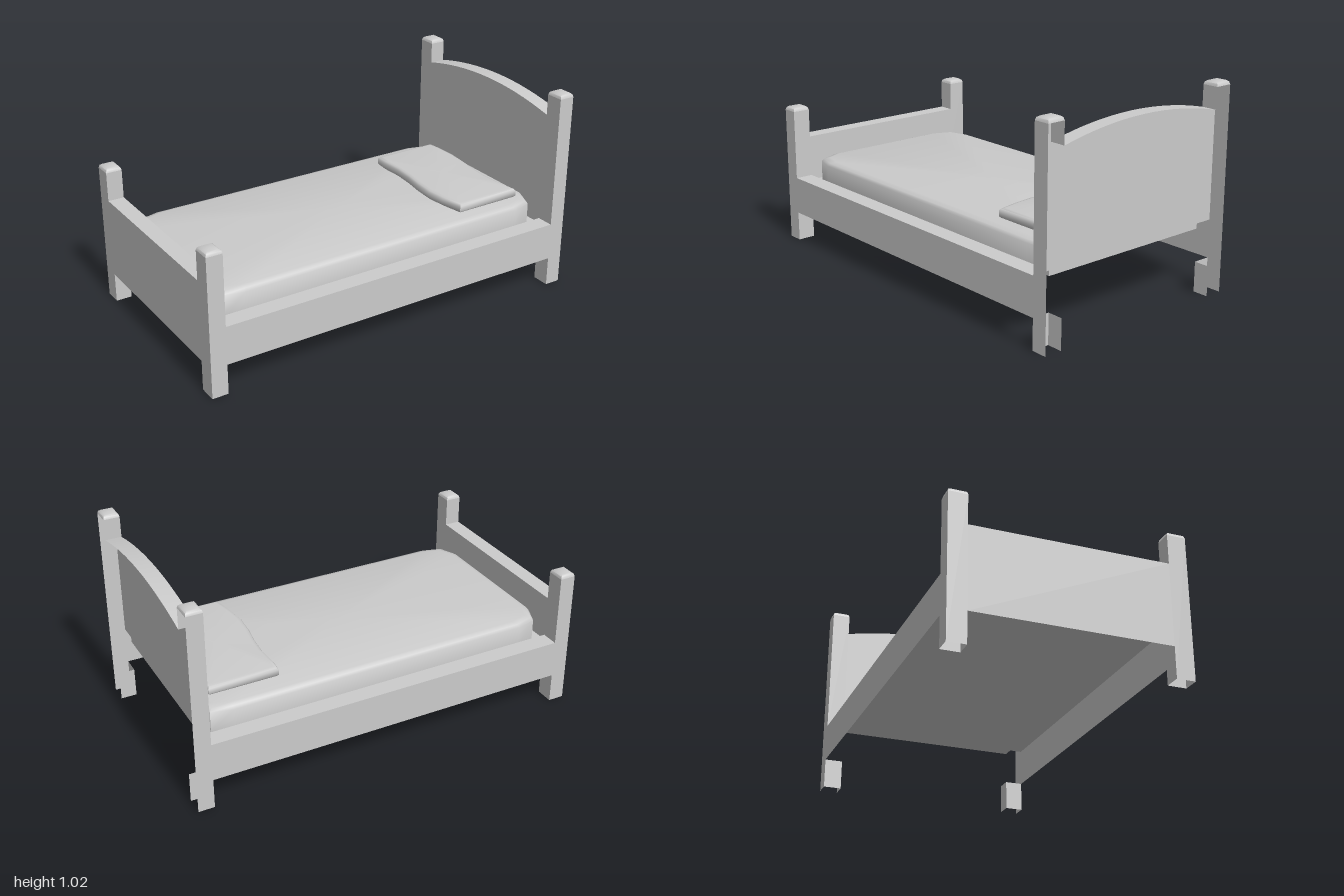
import * as THREE from 'three';
import { toCreasedNormals } from 'three/addons/utils/BufferGeometryUtils.js';

const XI = 0.92, XO = 1, ZI = 0.47, ZO = 0.56; // inner and outer faces of posts, boards and rails
const RAIL_BOTTOM = 0.15, RAIL_TOP = 0.34, BASE = 0.315;

export function createModel() {
  const bed = new THREE.Group();
  bed.name = 'bed';
  const material = new THREE.MeshStandardMaterial({ color: 0xcccccc, side: THREE.DoubleSide });

  const group = (name) => {
    const g = new THREE.Group();
    g.name = name;
    bed.add(g);
    return g;
  };

  const addMesh = (parent, name, points, index, crease) => {
    let geo = new THREE.BufferGeometry();
    geo.setAttribute('position', new THREE.Float32BufferAttribute(points.flat(), 3));
    geo.setIndex(index);
    geo = toCreasedNormals(geo, crease);
    const mesh = new THREE.Mesh(geo, material);
    mesh.name = name;
    parent.add(mesh);
  };

  // Flat convex sheet, mirrored by the signs sx and sz
  const sheet = (parent, name, points, sx = 1, sz = 1) => {
    const p = points.map(([x, y, z]) => [x * sx, y, z * sz]);
    if (sx * sz < 0) p.reverse();
    const index = [];
    for (let i = 1; i < p.length - 1; i++) index.push(0, i, i + 1);
    addMesh(parent, name, p, index, 0.1);
  };

  // Skin over rings (counterclockwise from above, bottom to top), closed on top
  const loft = (parent, name, rings, crease) => {
    const n = rings[0].length, points = rings.flat(), index = [];
    for (let r = 0; r < rings.length - 1; r++) {
      for (let i = 0; i < n; i++) {
        const a = r * n + i, b = r * n + (i + 1) % n;
        index.push(a, b, b + n, a, b + n, a + n);
      }
    }
    const top = rings[rings.length - 1], start = points.length - n;
    const centre = [0, 1, 2].map((k) => top.reduce((s, p) => s + p[k], 0) / n);
    for (let i = 0; i < n; i++) index.push(start + i, start + (i + 1) % n, points.length);
    points.push(centre);
    addMesh(parent, name, points, index, crease);
  };

  // Outline shrunk towards (cx, cz), one ring per [y, inset]
  const insetRings = (outline, cx, cz, hx, hz, levels) => levels.map(([y, d]) =>
    outline.map(([x, z]) => [cx + (x - cx) * (1 - d / hx), y, cz + (z - cz) * (1 - d / hz)]));

  // Hollow corner posts; the outer side of the head posts is open
  const post = (name, sx, sz, height, boardTop, closed) => {
    const g = group(name), t = height - 0.02;
    const acrossX = (part, z, y0, y1) => sheet(g, part,
      [[XO, y0, z], [XI, y0, z], [XI, y1, z], [XO, y1, z]], sx, sz);
    const acrossZ = (part, y0, y1) => sheet(g, part,
      [[XI, y0, ZI], [XI, y0, ZO], [XI, y1, ZO], [XI, y1, ZI]], sx, sz);
    sheet(g, 'postSide', [[XI, 0, ZO], [XO, 0, ZO], [XO, t, ZO], [XI, t, ZO]], sx, sz);
    if (closed) sheet(g, 'postEnd', [[XO, 0, ZO], [XO, 0, ZI], [XO, t, ZI], [XO, t, ZO]], sx, sz);
    acrossX('postInnerSide', ZI, boardTop, t);
    acrossX('legInnerSide', ZI, 0, RAIL_BOTTOM);
    acrossZ('postInnerEnd', RAIL_TOP, t);
    acrossZ('legInnerEnd', 0, RAIL_BOTTOM);
    const cx = sx * 0.96, cz = sz * 0.515;
    const square = [[0.04, 0.045], [0.04, -0.045], [-0.04, -0.045], [-0.04, 0.045]]
      .map(([x, z]) => [cx + x, cz + z]);
    loft(g, 'postCap', insetRings(square, cx, cz, 0.04, 0.045,
      [[t, 0], [t + 0.013, 0.004], [height, 0.014]]), 0.9);
  };

  // Curved or straight board between two posts
  const board = (name, sx, edge, closed) => {
    const g = group(name), steps = edge(0) === edge(ZI) ? 1 : 16;
    const zs = Array.from({ length: steps + 1 }, (_, i) => -ZI + (2 * ZI * i) / steps);
    sheet(g, 'boardInnerFace',
      [[XI, BASE, -ZI], [XI, BASE, ZI], ...zs.map((z) => [XI, edge(z), -z])], sx);
    if (closed) {
      sheet(g, 'boardOuterFace', [[XO, RAIL_BOTTOM, ZI], [XO, RAIL_BOTTOM, -ZI],
        ...zs.map((z) => [XO, edge(z), z])], sx);
    }
    const points = zs.flatMap((z) => [[XI * sx, edge(z), z], [XO * sx, edge(z), z]]);
    const index = [];
    for (let i = 0; i < steps; i++) {
      const a = 2 * i;
      if (sx > 0) index.push(a, a + 2, a + 3, a, a + 3, a + 1);
      else index.push(a, a + 3, a + 2, a, a + 1, a + 3);
    }
    addMesh(g, 'boardTop', points, index, 0.5);
  };

  board('headboard', 1, (z) => 0.9 + 0.057 * (1 - (z / ZI) ** 2), false);
  board('footboard', -1, () => 0.55, true);

  for (const sz of [1, -1]) {
    const side = sz > 0 ? 'Front' : 'Back';
    post('headPost' + side, 1, sz, 1.025, 0.9, false);
    post('footPost' + side, -1, sz, 0.715, 0.55, true);

    // Side rail: outer face, top and short inner lip
    const rail = group('sideRail' + side);
    const strip = (part, y0, z0, y1, z1) => sheet(rail, part,
      [[-XI, y0, z0], [XI, y0, z0], [XI, y1, z1], [-XI, y1, z1]], 1, sz);
    strip('railFace', RAIL_BOTTOM, ZO, RAIL_TOP, ZO);
    strip('railTop', RAIL_TOP, ZO, RAIL_TOP, ZI);
    strip('railLip', RAIL_TOP, ZI, BASE, ZI);
  }

  sheet(bed, 'base', [[-XI, BASE, ZI], [XI, BASE, ZI], [XI, BASE, -ZI], [-XI, BASE, -ZI]]);

  // Mattress with clipped corners and a softened top edge
  const corner = [[0.91, 0.34], [0.87, 0.435], [0.77, 0.463]];
  const flipped = [...corner].reverse();
  const mattress = [
    ...corner.map(([x, z]) => [x, -z]), ...flipped.map(([x, z]) => [-x, -z]),
    ...corner.map(([x, z]) => [-x, z]), ...flipped.map(([x, z]) => [x, z]),
  ];
  loft(bed, 'mattress', insetRings(mattress, 0, 0, 0.91, 0.463,
    [[BASE, 0], [0.42, 0], [0.434, 0.01], [0.442, 0.035]]), 0.8);

  // Thin pillow with wavy long edges
  const pz = [-0.34, -0.27, -0.16, -0.05, 0.05, 0.16, 0.26, 0.375];
  const nearFoot = [0.485, 0.479, 0.485, 0.476, 0.46, 0.452, 0.462, 0.485];
  const nearHead = [0.835, 0.845, 0.848, 0.838, 0.825, 0.817, 0.823, 0.838];
  const pillow = [
    ...pz.map((z, i) => [nearFoot[i], z]),
    ...pz.map((z, i) => [nearHead[i], z]).reverse(),
  ];
  loft(bed, 'pillow', insetRings(pillow, 0.65, 0.017, 0.19, 0.357,
    [[0.44, 0.008], [0.45, 0], [0.475, 0], [0.485, 0.008], [0.488, 0.022]]), 0.9);

  return bed;
}
